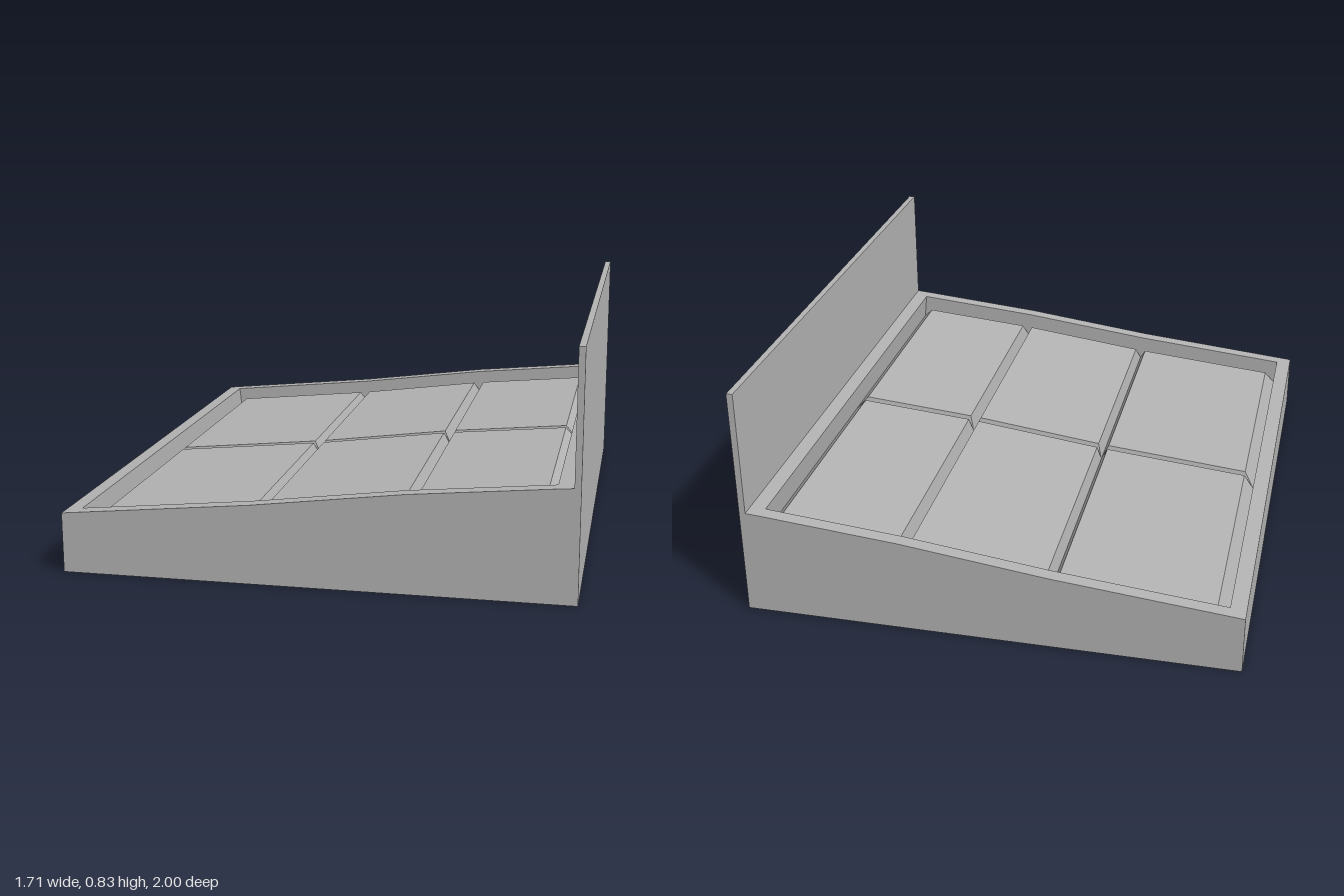
import * as THREE from 'three';

// Sloping top profile: x positions and rim heights
const px = [-0.855, -0.80, -0.21, 0.30, 0.78, 0.83, 0.855];
const py = [0.205, 0.2105, 0.269, 0.334, 0.379, 0.383, 0.385];
const zs = [-0.95, 0, 0.95];
const TILT = 0.1, PANEL_DEPTH = 0.04, GROOVE_DEPTH = 0.095;

// Flat-sided surface from a list of four-cornered faces
function quads(list) {
  const pos = [];
  for (const [a, b, c, d] of list) pos.push(...a, ...b, ...c, ...a, ...c, ...d);
  const g = new THREE.BufferGeometry();
  g.setAttribute('position', new THREE.Float32BufferAttribute(pos, 3));
  g.computeVertexNormals();
  return g;
}

// Point below the rim, measured square to the slope
function sunk(i, z, depth, dx = 0, dz = 0) {
  return [px[i] + dx + depth * TILT, py[i] + dx * 0.11 - depth, z + dz];
}

// Faces joining two loops of four corners
function band(lower, upper) {
  return lower.map((p, k) => {
    const n = (k + 1) % 4;
    return [p, lower[n], upper[n], upper[k]];
  });
}

export function createModel() {
  const group = new THREE.Group();
  const grey = new THREE.MeshStandardMaterial({ color: 0xb3b3b3, side: THREE.DoubleSide });
  grey.name = 'plain grey';
  const add = (name, geometry) => {
    const mesh = new THREE.Mesh(geometry, grey);
    mesh.name = name;
    group.add(mesh);
    return mesh;
  };

  // Outer walls, open underneath
  const walls = [], rim = [];
  const last = px.length - 1;
  for (let i = 0; i < last; i++) {
    const [x0, x1, y0, y1] = [px[i], px[i + 1], py[i], py[i + 1]];
    walls.push([[x0, 0, 1], [x1, 0, 1], [x1, y1, 1], [x0, y0, 1]]);
    walls.push([[x1, 0, -1], [x0, 0, -1], [x0, y0, -1], [x1, y1, -1]]);
    // Rim: full-width strips at the ends, side strips along the tray
    const strips = i === 0 || i >= 4 ? [[-1, 1]] : [[-1, -0.95], [0.95, 1]];
    for (const [za, zb] of strips) {
      rim.push([[x0, y0, zb], [x1, y1, zb], [x1, y1, za], [x0, y0, za]]);
    }
  }
  walls.push([[px[0], 0, -1], [px[0], 0, 1], [px[0], py[0], 1], [px[0], py[0], -1]]);
  walls.push([[px[last], 0, 1], [px[last], 0, -1], [px[last], py[last], -1], [px[last], py[last], 1]]);
  add('outerWalls', quads(walls));
  add('rim', quads(rim));

  // Inner walls dropping from the rim to the foot of the panels
  const inner = [];
  const drop = (i, za, j, zb) => inner.push([
    sunk(i, za, 0), sunk(j, zb, 0), sunk(j, zb, GROOVE_DEPTH), sunk(i, za, GROOVE_DEPTH)]);
  for (let i = 1; i < 4; i++) {
    drop(i + 1, -0.95, i, -0.95);
    drop(i, 0.95, i + 1, 0.95);
  }
  drop(1, -0.95, 1, 0.95);
  drop(4, 0.95, 4, -0.95);
  add('innerWalls', quads(inner));

  // Six raised panels with sloping sides, meeting in V grooves
  for (let i = 1; i < 4; i++) {
    for (let k = 0; k < 2; k++) {
      const left = i === 1 ? 0.04 : 0.02, right = i === 3 ? -0.04 : -0.02;
      const back = k === 0 ? 0.042 : 0.015, front = k === 1 ? -0.042 : -0.015;
      const corners = [
        [i, zs[k + 1], left, front], [i + 1, zs[k + 1], right, front],
        [i + 1, zs[k], right, back], [i, zs[k], left, back]];
      const foot = corners.map(([n, z]) => sunk(n, z, GROOVE_DEPTH));
      const top = corners.map(([n, z, dx, dz]) => sunk(n, z, PANEL_DEPTH, dx, dz));
      add('panel', quads([...band(foot, top), top]));
    }
  }

  // Upright board at the high end
  const board = add('uprightBoard', new THREE.BoxGeometry(0.022, 0.447, 2));
  board.position.set(0.844, 0.6065, 0);
  return group;
}
